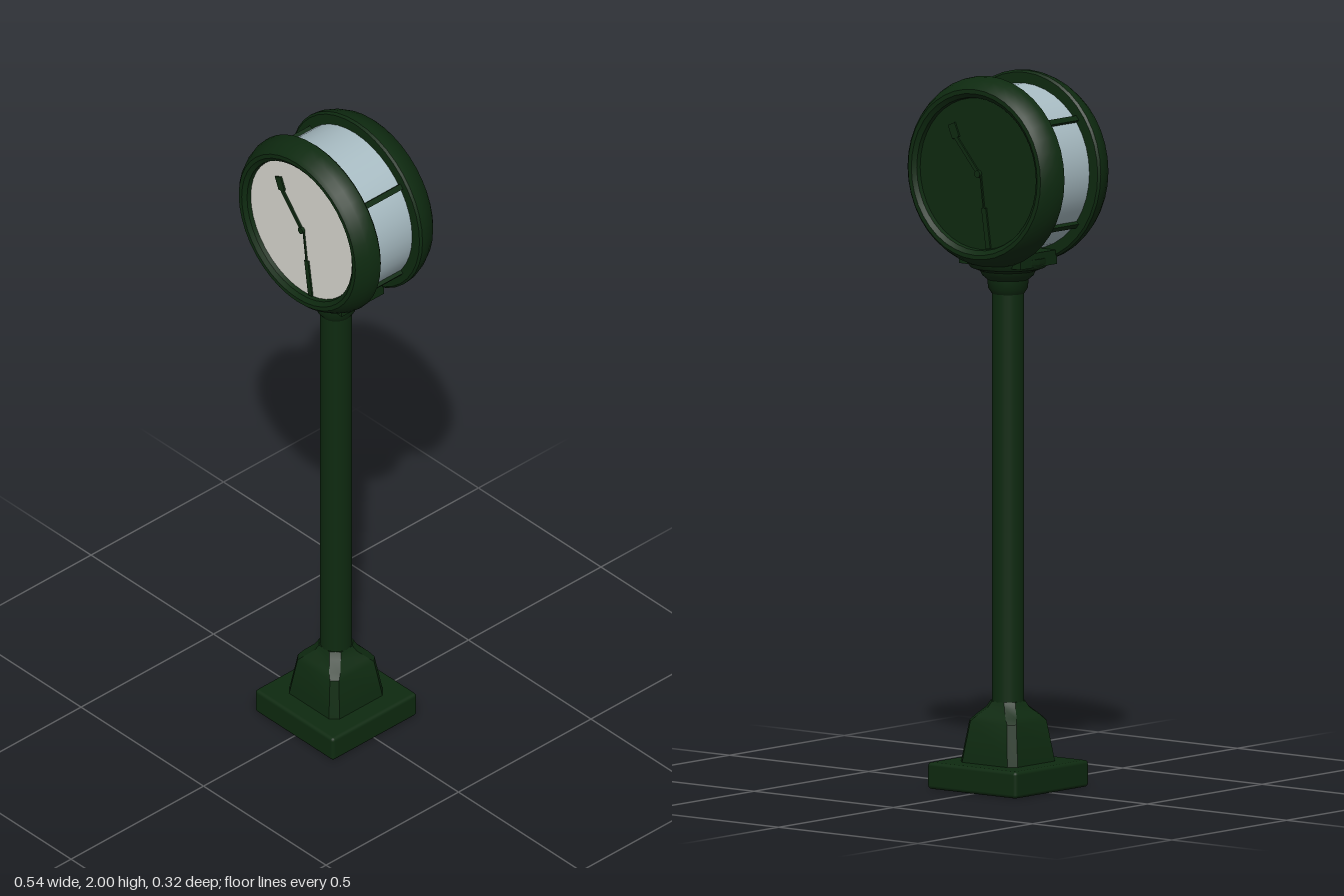
import * as THREE from 'three';
import { toCreasedNormals } from 'three/addons/utils/BufferGeometryUtils.js';
import { RoundedBoxGeometry } from 'three/addons/geometries/RoundedBoxGeometry.js';

const HEAD_Y = 1.733;

// Lathe around the z axis (head) or the y axis (post)
function turned(profile, alongZ, segments = 40) {
  const g = new THREE.LatheGeometry(profile.map(([r, h]) => new THREE.Vector2(r, h)), segments);
  if (alongZ) g.rotateX(Math.PI / 2);
  return toCreasedNormals(g, 0.6);
}

// Stacked square sections with cut corners; each section is [half width, corner cut, y]
function squareLoft(sections) {
  const rings = sections.map(([w, c, y]) => [
    [w, w - c], [w - c, w], [c - w, w], [-w, w - c],
    [-w, c - w], [c - w, -w], [w - c, -w], [w, c - w],
  ].map(([x, z]) => [x, y, z]));
  const pos = [];
  for (let i = 0; i < rings.length - 1; i++) {
    for (let j = 0; j < 8; j++) {
      const k = (j + 1) % 8;
      const [a, b, c, d] = [rings[i][j], rings[i][k], rings[i + 1][k], rings[i + 1][j]];
      pos.push(...a, ...c, ...b, ...a, ...d, ...c);
    }
  }
  const top = rings[rings.length - 1], bottom = rings[0];
  for (let j = 1; j < 7; j++) {
    pos.push(...top[0], ...top[j + 1], ...top[j]);
    pos.push(...bottom[0], ...bottom[j], ...bottom[j + 1]);
  }
  const g = new THREE.BufferGeometry();
  g.setAttribute('position', new THREE.Float32BufferAttribute(pos, 3));
  return toCreasedNormals(g, 0.5);
}

export function createModel() {
  const model = new THREE.Group();
  const material = (name, color) => {
    const m = new THREE.MeshStandardMaterial({ color });
    m.name = name;
    return m;
  };
  const green = material('dark green iron', 0x0e2a10);
  const cream = material('cream dial', 0xdcdbd3);
  const glass = material('pale blue glass', 0xa9bdc4);

  const add = (parent, name, geometry, mat, x = 0, y = 0, z = 0) => {
    const mesh = new THREE.Mesh(geometry, mat);
    mesh.name = name;
    mesh.position.set(x, y, z);
    parent.add(mesh);
    return mesh;
  };

  // Foot, pedestal and post
  add(model, 'basePlinth', new RoundedBoxGeometry(0.32, 0.075, 0.32, 2, 0.01), green, 0, 0.0375, 0);
  add(model, 'pedestal', squareLoft([
    [0.102, 0.02, 0.07], [0.098, 0.02, 0.1], [0.084, 0.018, 0.19],
    [0.074, 0.022, 0.205], [0.052, 0.022, 0.228], [0.044, 0.022, 0.245],
  ]), green);
  add(model, 'post', new THREE.CylinderGeometry(0.045, 0.045, 1.24, 24), green, 0, 0.82, 0);
  add(model, 'collar', turned([
    [0.045, 1.385], [0.055, 1.4], [0.058, 1.425], [0.072, 1.437], [0.078, 1.45],
    [0.105, 1.46], [0.115, 1.475], [0.115, 1.49], [0, 1.49],
  ], false, 24), green);
  add(model, 'headSaddle', new THREE.BoxGeometry(0.22, 0.04, 0.16), green, 0, 1.488, 0);

  // Glazed drum with four glazing bars
  const head = new THREE.Group();
  head.name = 'clockHead';
  head.position.y = HEAD_Y;
  model.add(head);
  add(head, 'glassDrum', turned([[0.232, -0.09], [0.232, 0.09]], true), glass);
  for (const sx of [-1, 1]) {
    for (const sy of [-1, 1]) {
      const bar = add(head, 'glazingBar', new THREE.BoxGeometry(0.012, 0.016, 0.17), green, sx * 0.185, sy * 0.148, 0);
      bar.rotation.z = Math.atan2(sy * 0.148, sx * 0.185);
    }
  }

  // A flat hand that runs between two points of a dial
  const hand = (parent, name, x0, y0, x1, y1, width) => {
    const length = Math.hypot(x1 - x0, y1 - y0);
    const mesh = add(parent, name, new THREE.BoxGeometry(width, length, 0.005), green, (x0 + x1) / 2, (y0 + y1) / 2, 0.129);
    mesh.rotation.z = Math.atan2(x0 - x1, y1 - y0);
  };

  // Front and back rims, dials and hands; the back dial is dark
  for (const side of ['front', 'back']) {
    const face = new THREE.Group();
    face.name = side + 'Face';
    if (side === 'back') face.rotation.y = Math.PI;
    head.add(face);
    add(face, 'rim', turned([
      [0.2, 0.073], [0.262, 0.073], [0.268, 0.079], [0.267, 0.095], [0.26, 0.115], [0.247, 0.138],
      [0.238, 0.147], [0.226, 0.147], [0.214, 0.138], [0.21, 0.118], [0.2, 0.073],
    ], true), green);
    add(face, 'dial', new THREE.CircleGeometry(0.214, 40), side === 'front' ? cream : green, 0, 0, 0.126);
    hand(face, 'hourHand', 0.005, -0.005, -0.085, 0.1, 0.011);
    hand(face, 'hourHandTip', -0.08, 0.094, -0.096, 0.132, 0.026);
    hand(face, 'minuteHand', 0.008, -0.005, 0.02, -0.1, 0.004);
    hand(face, 'minuteHandTip', 0.02, -0.095, 0.036, -0.206, 0.016);
    add(face, 'handPin', new THREE.CylinderGeometry(0.01, 0.01, 0.01, 12).rotateX(Math.PI / 2), green, 0, 0, 0.13);
  }
  return model;
}
